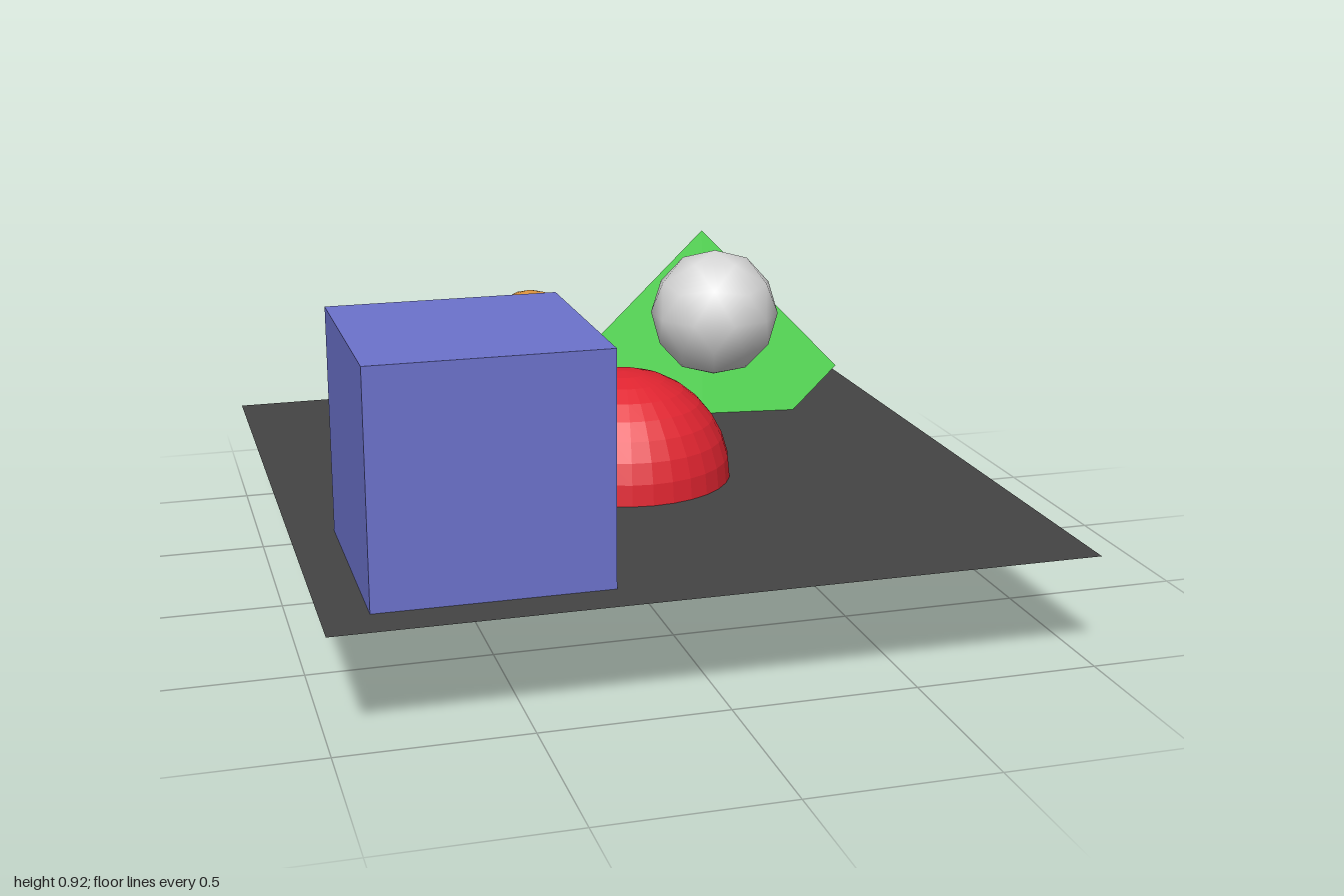
import * as THREE from 'three';

const material = (name, color, options = {}) => {
  const m = new THREE.MeshStandardMaterial({ color, ...options });
  m.name = name;
  return m;
};

export function createModel() {
  const model = new THREE.Group();
  model.name = 'primitiveShapes';

  const add = (name, geometry, mat, x, y, z) => {
    const mesh = new THREE.Mesh(geometry, mat);
    mesh.name = name;
    mesh.position.set(x, y, z);
    model.add(mesh);
    return mesh;
  };

  const grey = material('darkGrey', 0x444444, { side: THREE.DoubleSide });
  const red = material('red', 0xdf2430, { flatShading: true });
  const blue = material('periwinkle', 0x6c72cc);
  const orange = material('orange', 0xd8903c, { flatShading: true });
  const white = material('lightGrey', 0xd8d8d8);
  const green = material('green', 0x4ad84a, { side: THREE.DoubleSide });

  // Thin floor sheet cutting through the middle of the large ball
  const level = 0.307;
  add('floor', new THREE.PlaneGeometry(2, 2).rotateX(-Math.PI / 2), grey, 0, level, 0);

  // Large faceted ball
  add('largeBall', new THREE.SphereGeometry(0.307, 32, 16), red, 0, level, 0);

  // Cube resting on the floor, its base just showing underneath
  add('cube', new THREE.BoxGeometry(0.614, 0.616, 0.614), blue, -0.572, level + 0.306, 0.578);

  // Small coarse ball, with a column of corners facing front and back
  add('smallBall', new THREE.SphereGeometry(0.098, 10, 6).rotateY(Math.PI / 2),
    orange, -0.26, 0.757, -0.052);

  // Smooth ball made from a subdivided icosahedron standing on a corner
  const ico = new THREE.IcosahedronGeometry(0.187, 1)
    .rotateX(-Math.atan((1 + Math.sqrt(5)) / 2))
    .rotateY(Math.PI / 2);
  add('mediumBall', ico, white, 0.32, 0.728, -0.153);

  // Tilted square sheet, oriented by its two edge directions
  const u = new THREE.Vector3(0.455, 0.42, -0.03).normalize();
  const n = u.clone().cross(new THREE.Vector3(-0.41, 0.42, -0.14)).normalize();
  const v = n.clone().cross(u);
  const sheet = add('tiltedSheet', new THREE.PlaneGeometry(0.614, 0.614), green, 0.412, 0.45, -0.545);
  sheet.setRotationFromMatrix(new THREE.Matrix4().makeBasis(u, v, n));

  return model;
}
